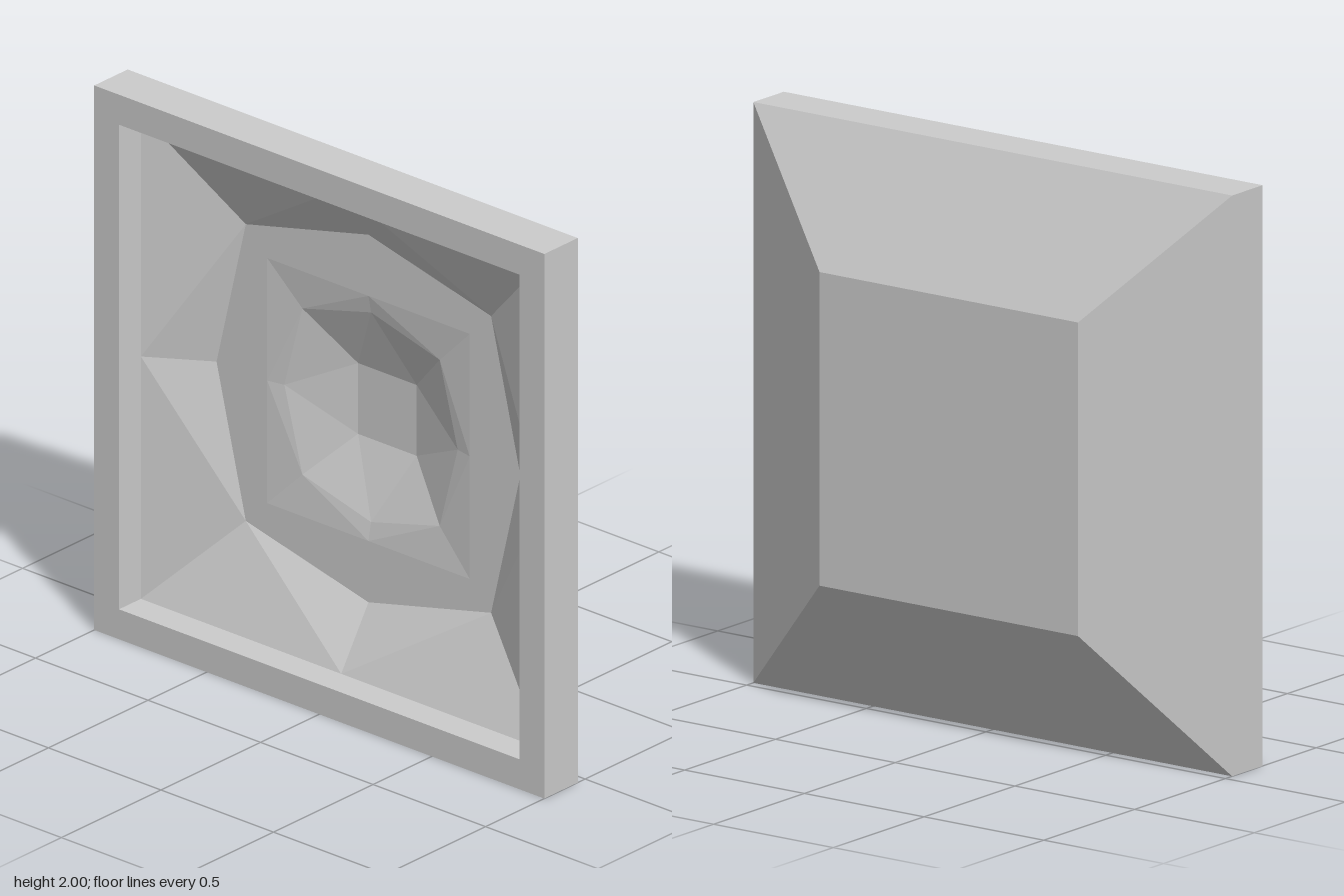
import * as THREE from 'three';

const material = new THREE.MeshStandardMaterial({ color: 0xcccccc, flatShading: true });

// Eight points around the centre: four side middles and four corners.
function ring([corner, middle, z]) {
  return Array.from({ length: 8 }, (_, i) => {
    const a = (i * Math.PI) / 4;
    const r = i % 2 ? corner * Math.SQRT2 : middle;
    return [r * Math.cos(a), 1 + r * Math.sin(a), z];
  });
}

// Joins consecutive rings, each given as [corner, middle, z].
function loft(name, profile) {
  const rings = profile.map(ring);
  const positions = [];
  for (let k = 0; k < rings.length - 1; k++) {
    const a = rings[k], b = rings[k + 1];
    for (let i = 0; i < 8; i++) {
      const j = (i + 1) % 8;
      // Mirror the diagonal on alternate facets to keep the bowl symmetrical
      const tris = i % 2
        ? [a[i], a[j], b[i], a[j], b[j], b[i]]
        : [a[i], a[j], b[j], a[i], b[j], b[i]];
      positions.push(...tris.flat());
    }
  }
  const geometry = new THREE.BufferGeometry();
  geometry.setAttribute('position', new THREE.Float32BufferAttribute(positions, 3));
  geometry.computeVertexNormals();
  const mesh = new THREE.Mesh(geometry, material);
  mesh.name = name;
  return mesh;
}

export function createModel() {
  const group = new THREE.Group();
  group.name = 'squareDish';

  // Tapered rear housing with a flat back
  group.add(loft('backHousing', [[0, 0, -0.205], [0.54, 0.54, -0.205], [1, 1, 0.037]]));

  // Square rim: outer wall, front border and inner lip
  group.add(loft('frame', [[1, 1, 0.037], [1, 1, 0.205], [0.89, 0.89, 0.205], [0.89, 0.89, 0.095]]));

  // Sloping funnel down to the eight-sided ledge
  group.add(loft('funnel', [[0.89, 0.89, 0.095], [0.545, 0.675, -0.042]]));

  // Ledge, with a slightly sunken inner border
  group.add(loft('ledge', [[0.545, 0.675, -0.042], [0.45, 0.45, -0.042], [0.305, 0.385, -0.055]]));

  // Central well and its flat floor
  group.add(loft('centreWell', [[0.305, 0.385, -0.055], [0.13, 0.13, -0.137], [0, 0, -0.137]]));

  return group;
}
